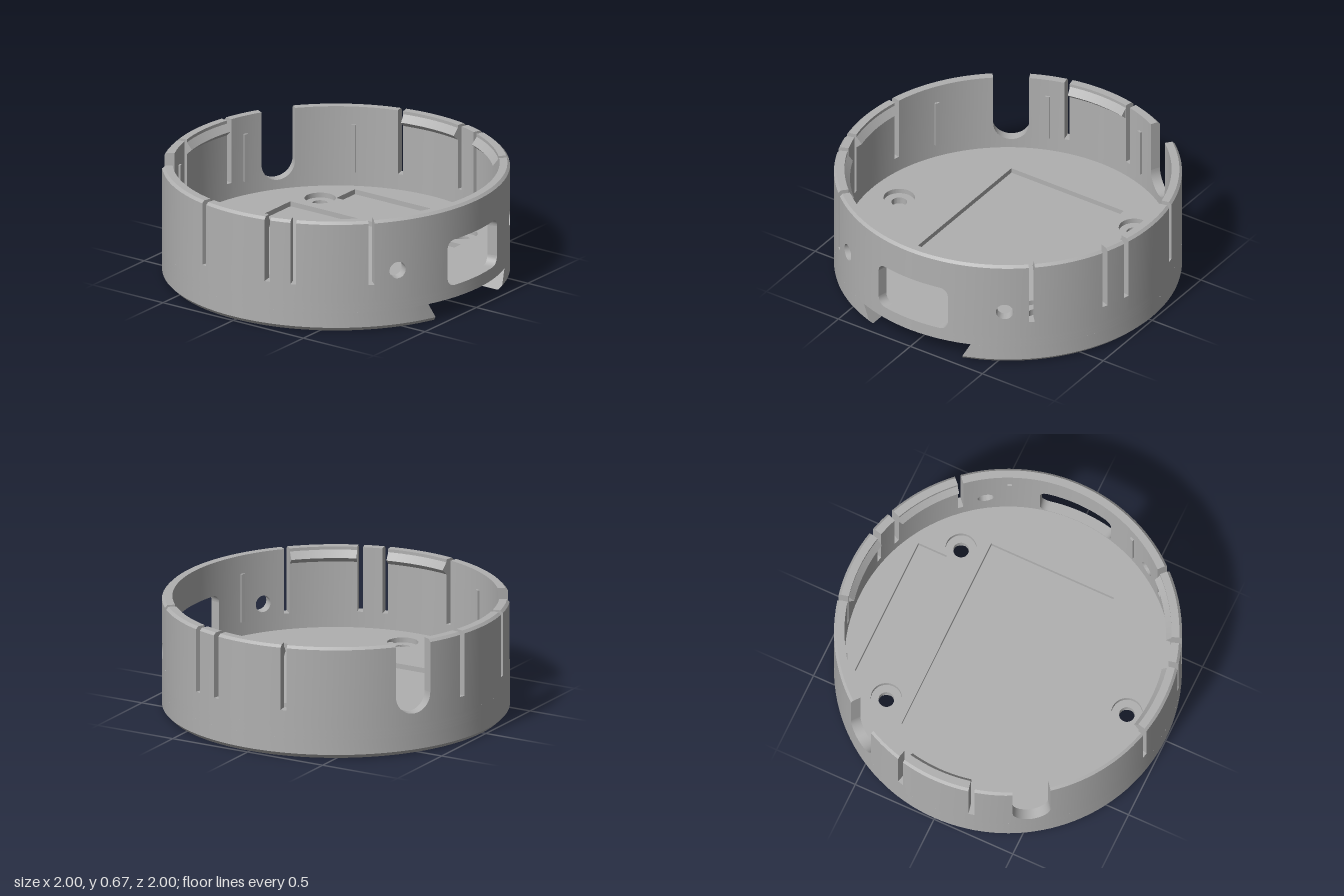
import * as THREE from 'three';
import { toCreasedNormals } from 'three/addons/utils/BufferGeometryUtils.js';

const TOP = 0.67, FLOOR = 0.185, INNER = 0.94, BEVEL = 0.015;
const SLIDE_TOP = 0.115, SLIDE_END = -0.57, SLIDE_W = 0.37, SLIDE_BOTTOM_W = 0.31;
const SCREWS = [[-0.755, 0], [0.535, -0.505], [0.535, 0.505]];
const CLIPS = [55, 90, 180, 270, 305];
const rad = THREE.MathUtils.degToRad;

// Sweep sections (lists of [radius, y]) around the axis; angle 0 is the front.
function sweep(out, angles, section) {
  const ring = (a) => section(a).map(([r, y]) => [r * Math.sin(rad(a)), y, r * Math.cos(rad(a))]);
  const rings = angles.map(ring);
  const tri = (...p) => p.forEach((v) => out.push(...v));
  for (let i = 0; i + 1 < rings.length; i++) {
    const A = rings[i], B = rings[i + 1];
    A.forEach((_, j) => {
      const k = (j + 1) % A.length;
      tri(A[j], B[j], B[k]);
      tri(A[j], B[k], A[k]);
    });
  }
  const first = rings[0], last = rings[rings.length - 1];
  for (let j = 1; j + 1 < first.length; j++) {
    tri(first[0], first[j], first[j + 1]);
    tri(last[0], last[j + 1], last[j]);
  }
}

function toGeometry(positions) {
  const g = new THREE.BufferGeometry();
  g.setAttribute('position', new THREE.Float32BufferAttribute(positions, 3));
  return toCreasedNormals(g, 0.5);
}

// Wall openings: centre angle, half angle, steps, and solid height ranges at offset d
function wallOpenings() {
  const round = (r, d) => Math.sqrt(Math.max(0, r * r - d * d));
  const list = [{
    c: 0, h: rad2deg(Math.asin(0.24)), n: 28,
    solid: (d) => {
      const hh = 0.09 + round(0.05, Math.max(0, Math.abs(d) - 0.19));
      return [[FLOOR, 0.33 - hh], [0.33 + hh, TOP]];
    },
  }];
  for (const c of [33, 327]) {
    list.push({
      c, h: rad2deg(Math.asin(0.05)), n: 16,
      solid: (d) => [[FLOOR, 0.355 - round(0.05, d)], [0.355 + round(0.05, d), TOP]],
    });
  }
  for (const c of [147, 213]) {
    list.push({
      c, h: rad2deg(Math.asin(0.11)), n: 18,
      solid: (d) => [[FLOOR, 0.352 - round(0.11, d)]],
    });
  }
  for (const clip of CLIPS) {
    for (const s of [-13, 13]) list.push({ c: clip + s, h: 1, n: 2, solid: () => [[FLOOR, 0.28]] });
  }
  return list.sort((a, b) => a.c - b.c);
}

function rad2deg(a) {
  return THREE.MathUtils.radToDeg(a);
}

function wallGeometry() {
  const out = [];
  const piece = (angles, solid, c) => {
    solid(0).forEach((_, i) => sweep(out, angles, (a) => {
      const [lo, hi] = solid(Math.sin(rad(a - c)))[i];
      const b = hi === TOP ? BEVEL : 0;
      return [[INNER, lo], [1, lo], [1, hi - b], [1 - b, hi], [INNER, hi]];
    }));
  };
  const list = wallOpenings();
  list.forEach((o, i) => {
    const angles = [];
    for (let k = 0; k <= o.n; k++) angles.push(o.c - o.h * Math.cos((Math.PI * k) / o.n));
    piece(angles, o.solid, o.c);
    // plain wall up to the next opening
    const next = list[(i + 1) % list.length];
    const start = o.c + o.h, end = next.c - next.h + (i + 1 === list.length ? 360 : 0);
    const n = Math.ceil((end - start) / 2.8), plain = [];
    for (let k = 0; k <= n; k++) plain.push(start + ((end - start) * k) / n);
    piece(plain, () => [[FLOOR, TOP]], 0);
  });
  return toGeometry(out);
}

// Horizontal slab of the base; the shape's y becomes z
function slab(shape, y0, y1) {
  return new THREE.ExtrudeGeometry(shape, { depth: y1 - y0, bevelEnabled: false, curveSegments: 32 })
    .rotateX(Math.PI / 2).translate(0, y1, 0);
}

function addScrewHoles(shape, r) {
  for (const [x, z] of SCREWS) shape.holes.push(new THREE.Path().absarc(x, z, r, 0, Math.PI * 2, true));
  return shape;
}

function addRectHole(shape, x0, x1, z0, z1) {
  shape.holes.push(new THREE.Path([[x0, z0], [x0, z1], [x1, z1], [x1, z0]].map((p) => new THREE.Vector2(...p))));
  return shape;
}

function disc(screwRadius) {
  const pts = [];
  for (let i = 0; i < 128; i++) {
    const a = (i / 128) * Math.PI * 2;
    pts.push(new THREE.Vector2(Math.cos(a), Math.sin(a)));
  }
  return addScrewHoles(new THREE.Shape(pts), screwRadius);
}

// Lower slab with the dovetail channel open at the front, tapering by height
function channelSlab(y0, y1) {
  const a0 = Math.asin(SLIDE_W), pts = [];
  for (let i = 0; i <= 112; i++) {
    const a = a0 + ((2 * Math.PI - 2 * a0) * i) / 112;
    pts.push(new THREE.Vector2(Math.sin(a), Math.cos(a)));
  }
  pts.push(new THREE.Vector2(-SLIDE_W, SLIDE_END), new THREE.Vector2(SLIDE_W, SLIDE_END));
  const g = slab(addScrewHoles(new THREE.Shape(pts), 0.075), y0, y1);
  const p = g.attributes.position;
  for (let i = 0; i < p.count; i++) {
    const x = p.getX(i), y = p.getY(i), z = p.getZ(i);
    const r = y < 0.001 ? 0.975 : 1;
    const w = SLIDE_BOTTOM_W + ((SLIDE_W - SLIDE_BOTTOM_W) * y) / SLIDE_TOP;
    const onSlide = Math.abs(Math.abs(x) - SLIDE_W) < 1e-4 && z > SLIDE_END - 0.01;
    if (onSlide) p.setXYZ(i, Math.sign(x) * w, y, z > 0 ? Math.sqrt(r * r - w * w) : z);
    else if (Math.hypot(x, z) > 0.999) p.setXYZ(i, x * r, y, z * r);
  }
  return g;
}

export function createModel() {
  const model = new THREE.Group();
  model.name = 'roundEnclosureBase';
  const grey = new THREE.MeshStandardMaterial({ color: 0xb0b0b0 });
  grey.name = 'grey plastic';
  const add = (name, geometry) => {
    const mesh = new THREE.Mesh(geometry, grey);
    mesh.name = name;
    model.add(mesh);
    return mesh;
  };
  const addSlab = (name, g) => add(name, toCreasedNormals(g, 0.5));

  // Base, from the chamfered underside up to the pocketed floor
  addSlab('bottomChamfer', channelSlab(0, 0.025));
  addSlab('dovetailChannel', channelSlab(0.025, SLIDE_TOP));
  addSlab('latchGrooveLayer', slab(addRectHole(disc(0.045), -0.33, 0.33, -0.33, -0.27), SLIDE_TOP, 0.135));
  addSlab('pocketBottom', slab(disc(0.045), 0.135, 0.155));
  const floor = addRectHole(disc(0.09), -0.39, 0.39, -0.61, 0.605);
  addSlab('floor', slab(addRectHole(floor, 0.59, 0.77, -0.43, 0.43), 0.155, FLOOR));

  // Wall with window, round holes, cable notches and clip slots
  add('wall', wallGeometry());

  // Catch lips on the inside of the spring clips
  for (const c of CLIPS) {
    const out = [], angles = [];
    for (let k = 0; k <= 10; k++) angles.push(c - 11.9 + 2.38 * k);
    sweep(out, angles, () => [[0.908, 0.61], [0.945, 0.575], [0.945, 0.658]]);
    add('clipLip', toGeometry(out));
  }

  // Slim vertical ribs on the inner wall
  for (const c of [24.5, 120, 160, 200, 240, 335.5]) {
    const rib = add('innerRib', new THREE.BoxGeometry(0.025, 0.29, 0.03));
    rib.position.set(0.943 * Math.sin(rad(c)), 0.415, 0.943 * Math.cos(rad(c)));
    rib.rotation.y = rad(c);
  }
  return model;
}
